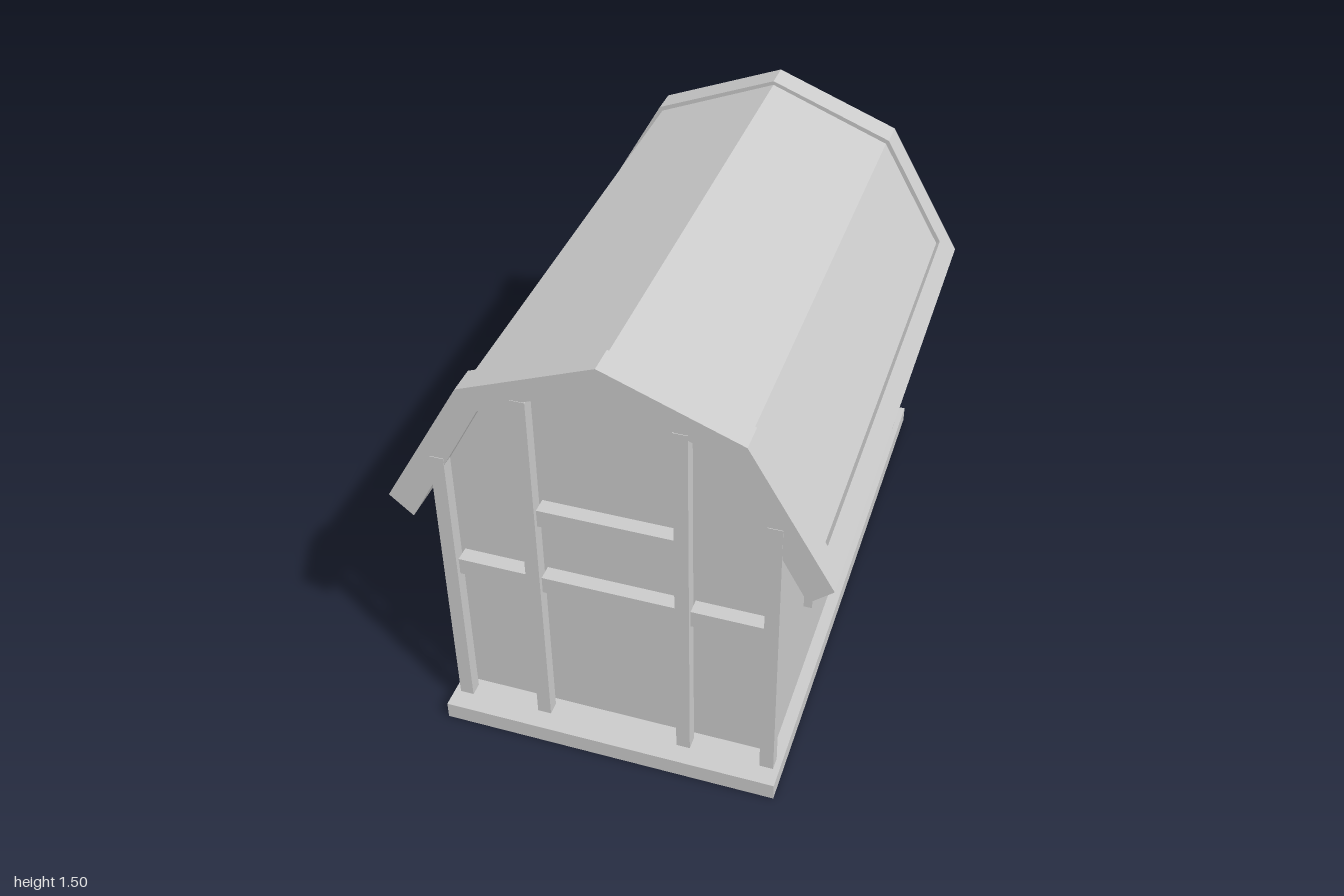
import * as THREE from 'three';

const material = new THREE.MeshStandardMaterial({ color: 0xcccccc, flatShading: true });

export function createModel() {
  const model = new THREE.Group();

  const add = (name, geometry) => {
    const mesh = new THREE.Mesh(geometry, material);
    mesh.name = name;
    model.add(mesh);
    return mesh;
  };

  // Box given by its limits on each axis
  const box = (name, x0, x1, y0, y1, z0, z1) =>
    add(name, new THREE.BoxGeometry(x1 - x0, y1 - y0, z1 - z0))
      .position.set((x0 + x1) / 2, (y0 + y1) / 2, (z0 + z1) / 2);

  const outline = (points) => points.map(([x, y]) => new THREE.Vector2(x, y));

  // Outline in x and y, extruded from z0 to z1
  const prism = (points, z0, z1, holes = []) => {
    const shape = new THREE.Shape(outline(points));
    holes.forEach((h) => shape.holes.push(new THREE.Path(outline(h))));
    return new THREE.ExtrudeGeometry(shape, { depth: z1 - z0, bevelEnabled: false }).translate(0, 0, z0);
  };

  const rect = (x0, x1, y0, y1) => [[x0, y0], [x1, y0], [x1, y1], [x0, y1]];

  // Completes a half outline that starts and ends on the centre line
  const mirrored = (half) => [...half, ...half.slice(1, -1).reverse().map(([x, y]) => [-x, y])];

  // Floor slab
  box('base', -0.555, 0.555, 0, 0.06, -1, 1);

  // Gable walls; the back one has a doorway
  const gableTop = [[0.515, 1.02], [0.37, 1.285], [0, 1.45]];
  add('frontWall', prism(mirrored([[0, 0.06], [0.515, 0.06], ...gableTop]), 0.83, 0.87));
  add('backWall', prism([
    [0.215, 0.06], [0.515, 0.06], ...gableTop, [-0.37, 1.285], [-0.515, 1.02],
    [-0.515, 0.06], [-0.215, 0.06], [-0.215, 0.6], [0.215, 0.6],
  ], -0.85, -0.81));

  // Side walls with four-pane windows
  const panes = [];
  for (const [a, b] of [[-0.134, -0.022], [0.022, 0.134]]) {
    for (const [c, d] of [[0.395, 0.572], [0.595, 0.775]]) panes.push(rect(a, b, c, d));
  }
  for (const s of [-1, 1]) {
    box('sideWall', s * 0.495 - 0.02, s * 0.495 + 0.02, 0.06, 1.02, -0.83, 0.85);
    for (const z of [-0.377, 0.377]) {
      const frame = prism(rect(-0.153, 0.153, 0.383, 0.785), -0.035, 0.035, panes);
      add('windowFrame', frame.rotateY(Math.PI / 2)).position.set(s * 0.508, 0, z);
    }
  }

  // Timber framing on both gables
  for (const [post0, post1, beam0, beam1] of [[0.893, 0.936, 0.87, 0.92], [-0.9, -0.85, -0.89, -0.85]]) {
    for (const s of [-1, 1]) {
      box('cornerPost', s * 0.5125 - 0.0225, s * 0.5125 + 0.0225, 0.06, 1.07, post0, post1);
      box('innerPost', s * 0.2375 - 0.0225, s * 0.2375 + 0.0225, 0.06, 1.34, post0, post1);
      box('sideBeam', s * 0.375 - 0.115, s * 0.375 + 0.115, 0.597, 0.657, beam0, beam1);
    }
    box('doorBeam', -0.215, 0.215, 0.597, 0.657, beam0, beam1);
    box('upperBeam', -0.215, 0.215, 0.868, 0.93, beam0, beam1);
  }

  // Crossed braces in the back side bays
  for (const s of [-1, 1]) {
    for (const [y0, y1] of [[1.24, 0.68], [0.68, 1.0]]) {
      const dx = 0.23, dy = y1 - y0;
      const brace = add('crossBrace', new THREE.BoxGeometry(Math.hypot(dx, dy), 0.04, 0.03));
      brace.position.set(s * 0.375, (y0 + y1) / 2, -0.865);
      brace.rotation.z = s * Math.atan2(dy, dx);
    }
  }

  // Hexagonal ornament high on the back gable
  const hexagon = (r) => Array.from({ length: 6 }, (_, i) => {
    const a = Math.PI / 2 + (i * Math.PI) / 3;
    return [r * Math.cos(a), 1.18 + r * Math.sin(a)];
  });
  add('hexagonFrame', prism(hexagon(0.138), -0.88, -0.85, [hexagon(0.1)]));

  // Gambrel roof: recessed panels between raised end trims and eaves
  add('roofPanels', prism(mirrored([
    [0, 1.44], [0.365, 1.275], [0.569, 0.9], [0.631, 0.953], [0.417, 1.325], [0, 1.491],
  ]), -0.855, 0.845));
  const trim = mirrored([
    [0, 1.44], [0.365, 1.275], [0.615, 0.815], [0.69, 0.88], [0.427, 1.338], [0, 1.505],
  ]);
  add('frontRoofTrim', prism(trim, 0.842, 0.934));
  add('backRoofTrim', prism(trim, -0.95, -0.852));
  for (const s of [-1, 1]) {
    const eave = [[0.643, 0.962], [0.69, 0.88], [0.615, 0.815], [0.567, 0.903]];
    add('eaveTrim', prism(eave.map(([x, y]) => [s * x, y]), -0.852, 0.842));
  }

  return model;
}
